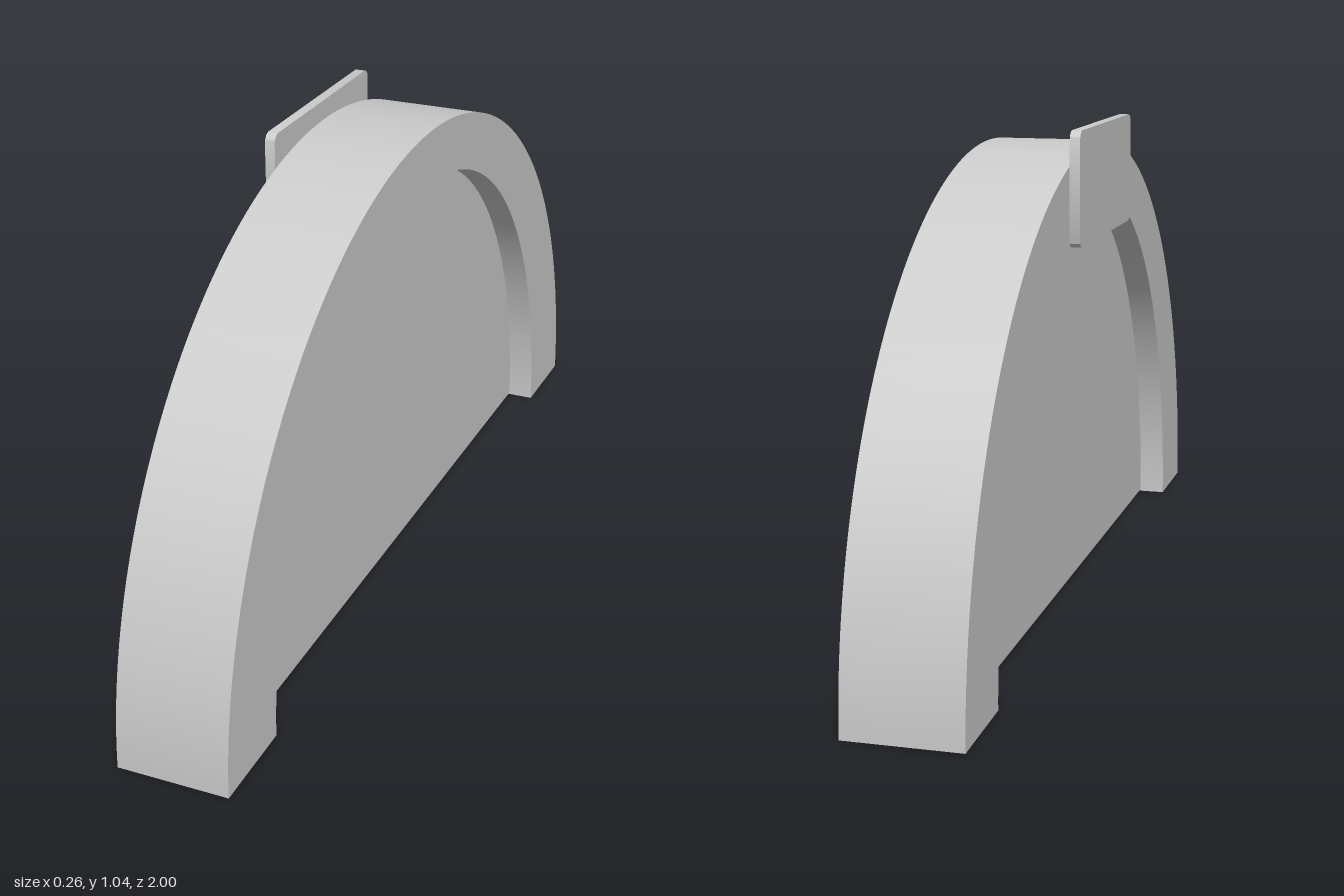
import * as THREE from 'three';
import { toCreasedNormals } from 'three/addons/utils/BufferGeometryUtils.js';

const material = new THREE.MeshStandardMaterial({ color: 0xcccccc });

// Extrude a profile drawn in the (z, y) plane between two x positions
function slab(name, shape, x0, x1) {
  let geometry = new THREE.ExtrudeGeometry(shape, {
    depth: x1 - x0, bevelEnabled: false, curveSegments: 64,
  });
  geometry.rotateY(Math.PI / 2);
  geometry.translate(x0, 0, 0);
  geometry = toCreasedNormals(geometry, Math.PI / 6);
  const mesh = new THREE.Mesh(geometry, material);
  mesh.name = name;
  return mesh;
}

// Rectangle with rounded corners
function roundedRect(x0, y0, x1, y1, r) {
  const s = new THREE.Shape();
  s.absarc(x1 - r, y0 + r, r, -Math.PI / 2, 0);
  s.absarc(x1 - r, y1 - r, r, 0, Math.PI / 2);
  s.absarc(x0 + r, y1 - r, r, Math.PI / 2, Math.PI);
  s.absarc(x0 + r, y0 + r, r, Math.PI, Math.PI * 1.5);
  s.closePath();
  return s;
}

export function createModel() {
  const group = new THREE.Group();
  group.name = 'archedPanel';
  const innerZ = 0.79, innerY = 0.88;

  // Half-round frame: circular outside, taller elliptical opening
  const frame = new THREE.Shape();
  frame.absarc(0, 0, 1, 0, Math.PI, false);
  frame.lineTo(-innerZ, 0);
  frame.absellipse(0, 0, innerZ, innerY, Math.PI, 0, true);
  frame.closePath();
  group.add(slab('archFrame', frame, -0.11, 0.13));

  // Thinner panel filling the opening, recessed on both sides
  const panel = new THREE.Shape();
  panel.absellipse(0, 0, innerZ, innerY, 0.005, Math.PI - 0.005, false);
  panel.closePath();
  group.add(slab('recessedPanel', panel, -0.05, 0.07));

  // Small plate fixed to the side of the crown
  group.add(slab('crownPlate', roundedRect(-0.243, 0.8, 0.243, 1.043, 0.02), -0.132, -0.11));

  return group;
}
